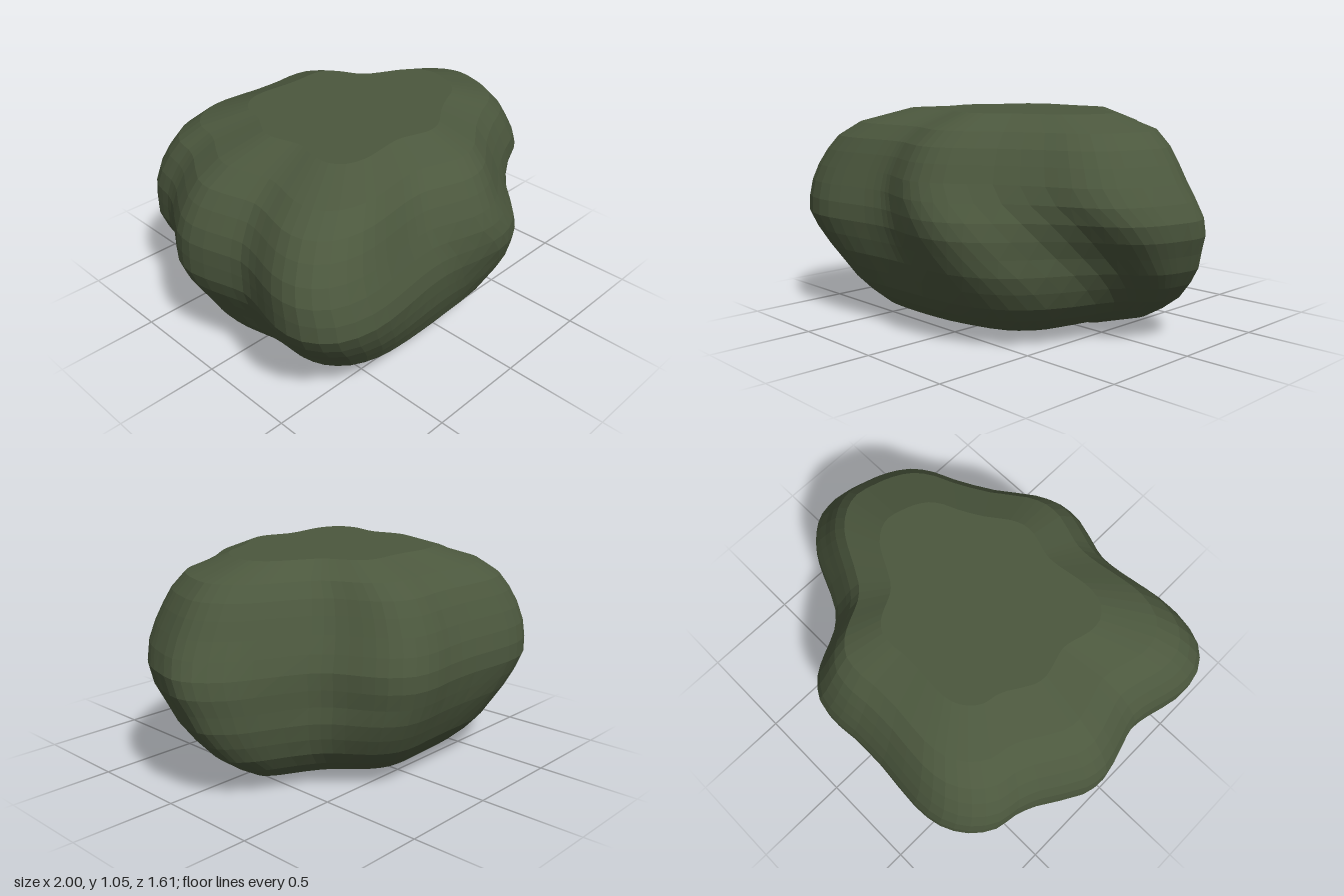
import * as THREE from 'three';

// Widest outline of the boulder as x, z pairs, running from +x round through +z
const OUTLINE = [
  1, 0, 0.97, 0.14, 0.93, 0.25, 0.86, 0.36, 0.75, 0.44, 0.63, 0.49, 0.41, 0.61, 0.22, 0.75,
  0.1, 0.8, -0.02, 0.8, -0.2, 0.74, -0.28, 0.725, -0.4, 0.73, -0.57, 0.755, -0.73, 0.765,
  -0.89, 0.72, -0.98, 0.61, -0.99, 0.47, -0.95, 0.32, -0.93, 0.2, -0.96, 0.08, -1, -0.08,
  -0.98, -0.2, -0.86, -0.4, -0.82, -0.5, -0.8, -0.61, -0.72, -0.72, -0.6, -0.79, -0.45, -0.81,
  -0.2, -0.79, 0, -0.79, 0.1, -0.8, 0.24, -0.785, 0.34, -0.71, 0.4, -0.61, 0.46, -0.49,
  0.54, -0.41, 0.77, -0.29, 0.88, -0.22, 0.97, -0.11,
];

// Height, scale and sideways shift of each ring; zero scales close the flat bottom and top
const RINGS = [
  [0, 0, -0.05], [0, 0.46, -0.05], [0.07, 0.7, -0.04], [0.13, 0.78, -0.02], [0.2, 0.85, 0],
  [0.28, 0.9, 0.01], [0.36, 0.945, 0.01], [0.44, 0.975, 0], [0.52, 1, 0], [0.6, 1, 0],
  [0.68, 0.98, -0.015], [0.76, 0.945, -0.025], [0.84, 0.9, -0.025], [0.91, 0.85, -0.02],
  [0.98, 0.76, 0], [1.05, 0.53, 0], [1.05, 0, 0],
];

const SEGMENTS = 80;

// Point of the outline at a height: lower down the lobes flatten towards an oval,
// and the front lobe swings towards +x
function shapePoint(p, y) {
  const angle = Math.atan2(p.z, p.x);
  const oval = 1 / Math.hypot(Math.cos(angle) / 0.95, Math.sin(angle) / 0.8);
  const fill = 0.5 * Math.max(0, 1 - y / 0.5);
  const radius = THREE.MathUtils.lerp(Math.hypot(p.x, p.z), oval, fill);
  const away = (angle - 1) / 0.65;
  const turned = angle - 0.95 * Math.exp(-away * away / 2) * Math.max(0, 1 - y / 0.72);
  return [radius * Math.cos(turned), radius * Math.sin(turned)];
}

function boulderGeometry() {
  const points = [];
  for (let i = 0; i < OUTLINE.length; i += 2) points.push(new THREE.Vector3(OUTLINE[i], 0, OUTLINE[i + 1]));
  const curve = new THREE.CatmullRomCurve3(points, true);
  const outline = curve.getPoints(SEGMENTS).slice(0, SEGMENTS);

  const positions = [];
  for (const [y, scale, shift] of RINGS) {
    for (const p of outline) {
      const [x, z] = shapePoint(p, y);
      positions.push(x * scale + shift, y, z * scale);
    }
  }

  const index = [];
  for (let r = 0; r < RINGS.length - 1; r++) {
    for (let i = 0; i < SEGMENTS; i++) {
      const j = (i + 1) % SEGMENTS;
      const a = r * SEGMENTS + i, b = r * SEGMENTS + j;
      const c = a + SEGMENTS, d = b + SEGMENTS;
      // the first and last bands are fans round a centre point
      if (r > 0) index.push(a, c, b);
      if (r < RINGS.length - 2) index.push(b, c, d);
    }
  }

  const geometry = new THREE.BufferGeometry();
  geometry.setAttribute('position', new THREE.Float32BufferAttribute(positions, 3));
  geometry.setIndex(index);
  const faceted = geometry.toNonIndexed();
  faceted.computeVertexNormals();
  return faceted;
}

export function createModel() {
  const group = new THREE.Group();
  group.name = 'boulder';
  const mossGreen = new THREE.MeshStandardMaterial({ name: 'mossGreen', color: 0x4c583e, flatShading: true });
  const body = new THREE.Mesh(boulderGeometry(), mossGreen);
  body.name = 'boulderBody';
  group.add(body);
  return group;
}
